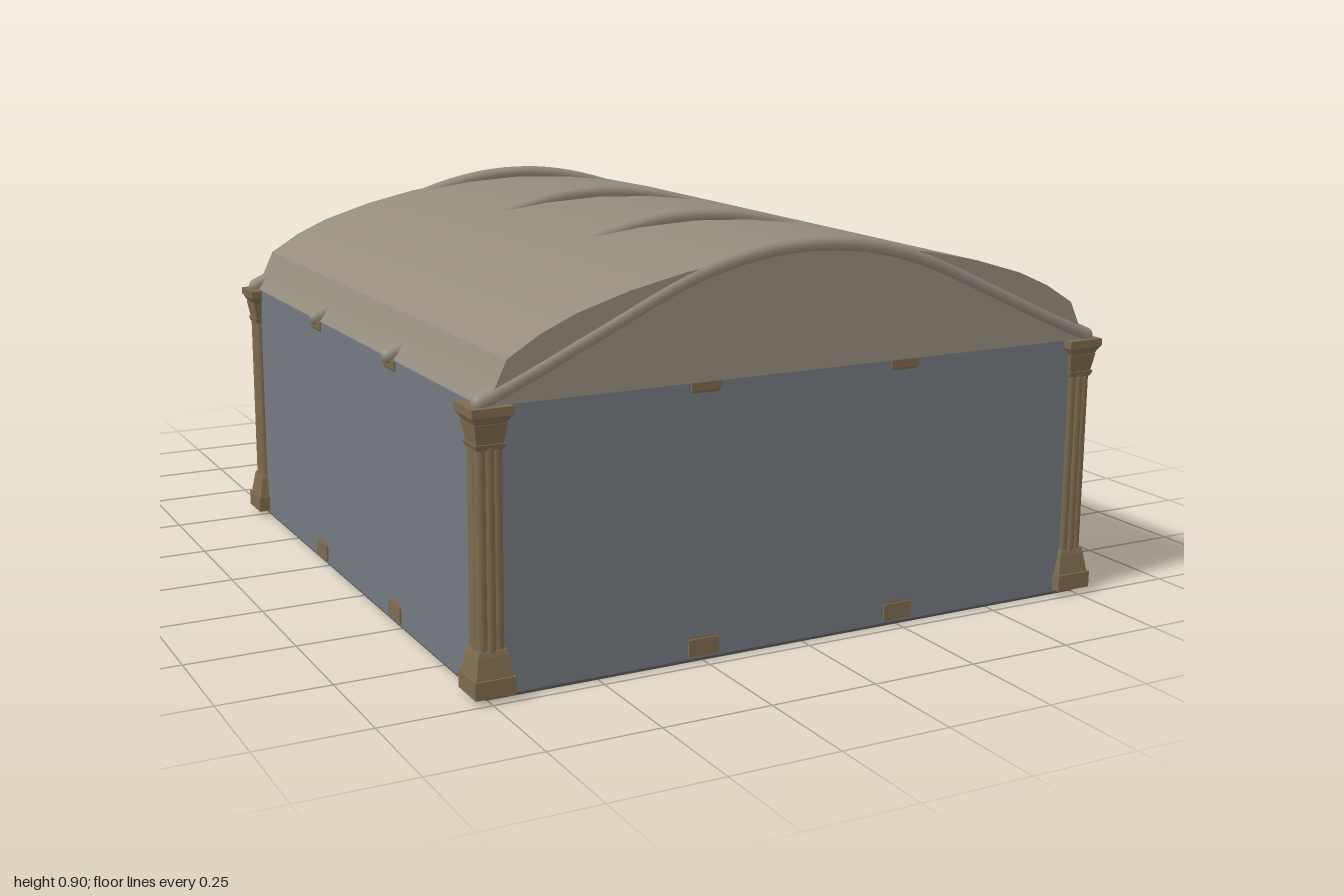
import * as THREE from 'three';
import { toCreasedNormals } from 'three/addons/utils/BufferGeometryUtils.js';

const mat = (name, color) => {
  const m = new THREE.MeshStandardMaterial({ color });
  m.name = name;
  return m;
};

export function createModel() {
  const model = new THREE.Group();
  model.name = 'vaultedHall';
  const wallGrey = mat('wallGrey', 0x747981);
  const plaster = mat('plaster', 0x958c7f);
  const carvedStone = mat('carvedStone', 0x7d6b4d);
  const floorBrown = mat('floorBrown', 0x7a6a50);
  const underside = mat('underside', 0x555657);
  const black = mat('black', 0x080808);

  const add = (name, geo, material, x = 0, y = 0, z = 0, parent = model) => {
    const mesh = new THREE.Mesh(geo, material);
    mesh.name = name;
    mesh.position.set(x, y, z);
    parent.add(mesh);
    return mesh;
  };
  // box given by its min and max corners
  const box = (name, material, [x0, y0, z0], [x1, y1, z1], parent = model) =>
    add(name, new THREE.BoxGeometry(x1 - x0, y1 - y0, z1 - z0), material,
      (x0 + x1) / 2, (y0 + y1) / 2, (z0 + z1) / 2, parent);

  const W = 0.757, FRONT = 0.97, BACK = -0.555, TOP = 0.61, Y0 = 0.012;
  const extrude = (shape, depth) => new THREE.ExtrudeGeometry(shape,
    { depth, bevelEnabled: false, curveSegments: 20 });

  // Floors: dark slab below, brown paving above
  box('hallSlab', underside, [-W + 0.003, 0, BACK], [W - 0.003, 0.008, FRONT]);
  box('hallPaving', floorBrown, [-W + 0.01, 0.008, BACK], [W - 0.01, 0.014, FRONT - 0.01]);
  box('porchSlab', underside, [-0.2, 0, -0.985], [0.2, 0.008, BACK]);
  box('porchPaving', floorBrown, [-0.195, 0.008, -0.985], [0.195, 0.014, BACK]);

  // Front and side walls, each with a plaster lining
  box('frontWall', wallGrey, [-W, 0.006, FRONT - 0.012], [W, TOP, FRONT]);
  box('frontLining', plaster, [-W + 0.012, Y0, FRONT - 0.018], [W - 0.012, TOP, FRONT - 0.012]);
  for (const s of [-1, 1]) {
    const zc = (FRONT + BACK) / 2, len = FRONT - BACK;
    add('sideWall', new THREE.BoxGeometry(0.012, TOP - 0.006, len), wallGrey, s * (W - 0.006), (TOP + 0.006) / 2, zc);
    add('sideLining', new THREE.BoxGeometry(0.006, TOP - Y0, len - 0.03), plaster, s * (W - 0.015), (TOP + Y0) / 2, zc);
  }

  // Back wall with an arched doorway
  const doorWall = (half) => {
    const r = 0.15, spring = 0.31;
    const s = new THREE.Shape();
    s.moveTo(-half, 0.006);
    s.lineTo(half, 0.006);
    s.lineTo(half, TOP);
    s.lineTo(-half, TOP);
    s.closePath();
    const hole = new THREE.Path();
    hole.moveTo(-r, 0.014);
    hole.lineTo(-r, spring);
    hole.absarc(0, spring, r, Math.PI, 0, true);
    hole.lineTo(r, 0.014);
    hole.closePath();
    s.holes.push(hole);
    return s;
  };
  add('backWall', extrude(doorWall(W), 0.012), wallGrey, 0, 0, BACK);
  add('backLining', extrude(doorWall(W - 0.012), 0.006), plaster, 0, 0, BACK + 0.012);

  // Open-topped porch with frame and black end panel
  for (const s of [-1, 1]) {
    const zc = (BACK - 0.985) / 2, len = BACK + 0.985;
    add('porchWall', new THREE.BoxGeometry(0.01, 0.512, len), wallGrey, s * 0.195, 0.264, zc);
    add('porchLining', new THREE.BoxGeometry(0.004, 0.506, len), plaster, s * 0.188, 0.265, zc);
    add('porchFramePost', new THREE.BoxGeometry(0.03, 0.52, 0.02), wallGrey, s * 0.235, 0.27, BACK - 0.008);
  }
  box('porchFrameLintel', wallGrey, [-0.25, 0.515, BACK - 0.018], [0.25, 0.535, BACK]);
  box('porchEndPanel', black, [-0.23, 0.012, -1], [0.23, 0.522, -0.982]);

  // Vault profile, right half from eave to crown, then mirrored
  const half = [[0.753, 0.61], [0.728, 0.645], [0.702, 0.7], [0.63, 0.744], [0.55, 0.779],
    [0.43, 0.815], [0.3, 0.843], [0.15, 0.862], [0, 0.869]];
  const mirror = (pts) => [...pts, ...pts.slice(0, -1).reverse().map(([x, y]) => [-x, y])];
  const outer = mirror(half).map(([x, y]) => new THREE.Vector2(x, y));
  const inner = outer.map((p) => new THREE.Vector2(p.x * 0.985, TOP + (p.y - TOP) * 0.955)).reverse();
  const roof = extrude(new THREE.Shape([...outer, ...inner]), FRONT - BACK + 0.01);
  add('vaultedRoof', toCreasedNormals(roof, 0.45), plaster, 0, 0, BACK - 0.005);
  const gable = extrude(new THREE.Shape(outer), 0.01);
  add('frontGable', gable, plaster, 0, 0, FRONT - 0.004);
  add('backGable', gable, plaster, 0, 0, BACK - 0.006);

  // Arched ribs
  const ribHalf = [[0.757, 0.617], [0.65, 0.663], [0.5, 0.732], [0.3, 0.822], [0.2, 0.853], [0.1, 0.872], [0, 0.878]];
  const ribCurve = new THREE.CatmullRomCurve3(mirror(ribHalf).map(([x, y]) => new THREE.Vector3(x, y, 0)));
  const ribGeo = new THREE.TubeGeometry(ribCurve, 48, 0.018, 10);
  const ribEnd = new THREE.SphereGeometry(0.018, 10, 8);
  for (const z of [0.965, 0.465, -0.035, -0.54]) {
    const rib = new THREE.Group();
    rib.name = 'roofRib';
    rib.position.z = z;
    add('ribTube', ribGeo, plaster, 0, 0, 0, rib);
    for (const s of [-1, 1]) add('ribEnd', ribEnd, plaster, s * 0.757, 0.617, 0, rib);
    model.add(rib);
  }

  // Clustered columns: square tapered foot, bundled shafts, flared capital
  const taper = (top, bottom, h) => {
    const g = new THREE.CylinderGeometry(top * Math.SQRT2, bottom * Math.SQRT2, h, 4);
    g.rotateY(Math.PI / 4);
    return toCreasedNormals(g, 0.4);
  };
  const blocks = [ // name, bottom y, top y, half width at bottom and top
    ['plinth', 0.012, 0.05, 0.045, 0.045],
    ['foot', 0.05, 0.095, 0.041, 0.033],
    ['footCollar', 0.095, 0.107, 0.034, 0.03],
    ['neckRing', 0.522, 0.534, 0.029, 0.033],
    ['capital', 0.534, 0.575, 0.029, 0.036],
    ['capitalLeaves', 0.575, 0.592, 0.034, 0.043],
    ['abacus', 0.592, 0.61, 0.045, 0.045],
  ].map(([name, y0, y1, b, t]) => [name, taper(t, b, y1 - y0), (y0 + y1) / 2]);
  const core = new THREE.CylinderGeometry(0.022, 0.022, 0.43, 12);
  const shaft = new THREE.CylinderGeometry(0.012, 0.012, 0.43, 10);
  const column = (name, x, z, width = 1) => {
    const g = new THREE.Group();
    g.name = name;
    g.position.set(x, 0, z);
    g.scale.set(width, 1, width);
    for (const [n, geo, y] of blocks) add(n, geo, carvedStone, 0, y, 0, g);
    add('coreShaft', core, carvedStone, 0, 0.315, 0, g);
    for (let i = 0; i < 8; i++) {
      const a = i * Math.PI / 4, r = i % 2 ? 0.025 : 0.02;
      add('shaft', shaft, carvedStone, Math.cos(a) * r, 0.315, Math.sin(a) * r, g);
    }
    model.add(g);
  };
  for (const s of [-1, 1]) {
    column('cornerColumn', s * 0.74, 0.948);
    column('cornerColumn', s * 0.74, -0.528);
    // wall columns stand inside, with feet and capitals just showing outside
    column('wallColumn', s * 0.25, FRONT - 0.032, 0.8);
    column('wallColumn', s * 0.25, BACK + 0.032, 0.8);
    for (const z of [0.468, -0.035]) column('wallColumn', s * (W - 0.032), z, 0.8);
  }
  return model;
}
